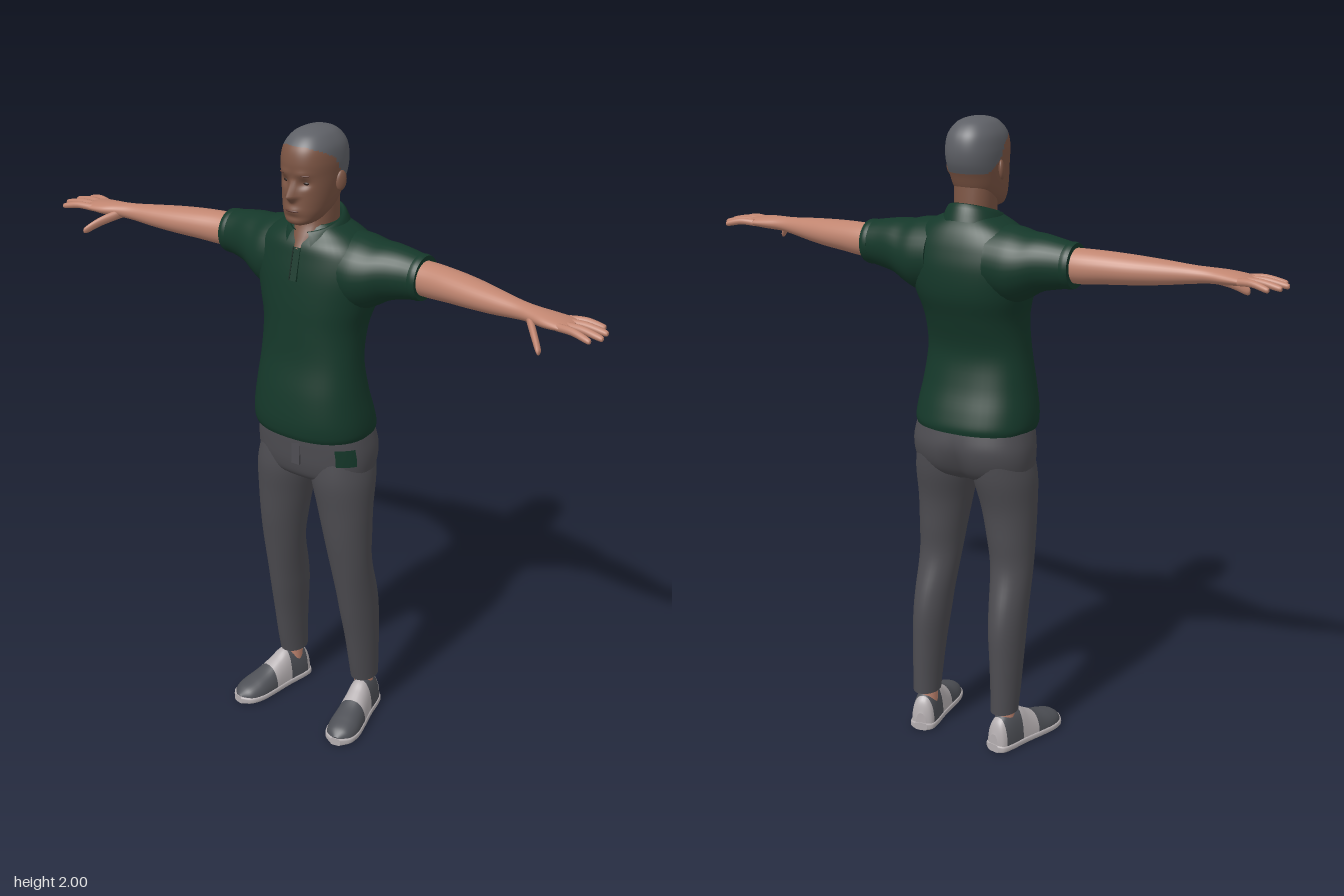
import * as THREE from 'three';

const mat = (name, color, side = THREE.FrontSide) => {
  const m = new THREE.MeshStandardMaterial({ color, side });
  m.name = name;
  return m;
};
const M = {
  shirt: mat('shirt green', 0x15382a, THREE.DoubleSide),
  seam: mat('seam dark green', 0x0d241c),
  trousers: mat('trouser grey', 0x4d4c51),
  face: mat('face skin', 0x7b5443),
  arm: mat('arm skin', 0xc08570),
  hair: mat('hair grey', 0x5e6066),
  shoe: mat('shoe grey', 0x4e5056),
  sole: mat('shoe light grey', 0xb4aeb0),
  dark: mat('eye dark', 0x2a1c18),
  lip: mat('lip', 0x613c33),
};
const gauss = (d, s) => Math.exp(-(d * d) / (s * s));
const spow = (v, p) => Math.sign(v) * Math.abs(v) ** p;

// Catmull-Rom interpolation through rows of numbers
function sample(rows, t) {
  const k = Math.min(Math.floor(t), rows.length - 2), f = t - k;
  const at = i => rows[Math.max(0, Math.min(rows.length - 1, i))];
  return rows[0].map((_, c) => {
    const [a, b, d, e] = [at(k - 1)[c], at(k)[c], at(k + 1)[c], at(k + 2)[c]];
    return b + 0.5 * f * (d - a + f * (2 * a - 5 * b + 4 * d - e + f * (3 * (b - d) + e - a)));
  });
}

// Surface from rings of points; pick() gives a material index per quad
function skin(rings, closed, pick) {
  const n = rings[0].length, pos = [], parts = [[], []];
  rings.forEach(r => r.forEach(p => pos.push(p.x, p.y, p.z)));
  for (let j = 0; j < rings.length - 1; j++) {
    for (let i = 0; i < (closed ? n : n - 1); i++) {
      const i2 = (i + 1) % n, a = j * n + i, b = j * n + i2;
      const mid = rings[j][i].clone().add(rings[j + 1][i2]).multiplyScalar(0.5);
      parts[pick ? pick(mid) : 0].push(a, b, b + n, a, b + n, a + n);
    }
  }
  const g = new THREE.BufferGeometry();
  g.setAttribute('position', new THREE.Float32BufferAttribute(pos, 3));
  g.setIndex([...parts[0], ...parts[1]]);
  if (pick) {
    g.addGroup(0, parts[0].length, 0);
    g.addGroup(parts[0].length, parts[1].length, 1);
  }
  g.computeVertexNormals();
  return g;
}

// Closed loft with flat end caps
function loft(rows, point, n = 32, sub = 5, pick) {
  const rings = [], steps = (rows.length - 1) * sub;
  for (let j = 0; j <= steps; j++) {
    const row = sample(rows, j / sub);
    rings.push(Array.from({ length: n }, (_, i) => point(row, (i / n) * Math.PI * 2)));
  }
  const cap = r => {
    const c = r.reduce((s, p) => s.add(p), new THREE.Vector3()).divideScalar(n);
    return r.map(() => c);
  };
  const first = rings[0], last = rings[rings.length - 1];
  return skin([cap(first), first, ...rings, last, cap(last)], true, pick);
}

// Section rules: body [y, halfWidth, zFront, zBack], leg [y, x, z, rx, rz], limb [x, y, z, ry, rz]
const bodyPoint = ([y, w, zf, zb], a) => new THREE.Vector3(
  w * spow(Math.sin(a), 0.87), y, (zf + zb) / 2 + ((zf - zb) / 2) * spow(Math.cos(a), 0.87));
const legPoint = ([y, x, z, rx, rz], a) => new THREE.Vector3(x + rx * Math.sin(a), y, z + rz * Math.cos(a));
const limbPoint = ([x, y, z, ry, rz], a) => new THREE.Vector3(x, y + ry * Math.cos(a), z + rz * Math.sin(a));

function mirrored(geo) {
  const g = geo.clone().scale(-1, 1, 1), ix = g.index.array;
  for (let i = 0; i < ix.length; i += 3) [ix[i], ix[i + 1]] = [ix[i + 1], ix[i]];
  g.computeVertexNormals();
  return g;
}

// Head surface with nose, eye sockets, brow and lips
function headPoint(row, a) {
  const p = bodyPoint(row, a);
  if (Math.cos(a) > 0) {
    const { x, y } = p, ax = Math.abs(x);
    const nose = y > 1.815 ? Math.max(0, 1 - (y - 1.815) / 0.05) : Math.max(0, 1 - (1.815 - y) / 0.022);
    p.z += 0.03 * nose * gauss(x, 0.008 + 0.008 * nose)
      - 0.011 * gauss(ax - 0.034, 0.017) * gauss(y - 1.853, 0.013)
      + 0.004 * gauss(ax - 0.03, 0.025) * gauss(y - 1.882, 0.01)
      + 0.006 * gauss(x, 0.025) * gauss(y - 1.773, 0.011)
      - 0.003 * gauss(x, 0.03) * gauss(y - 1.752, 0.007);
  }
  return p;
}
const hairline = [[0.11, 1.968], [0.05, 1.94], [0.015, 1.925], [-0.015, 1.875], [-0.06, 1.84], [-0.2, 1.835]];
function isHair(p) {
  for (let i = 0; i < hairline.length - 1; i++) {
    const [z0, y0] = hairline[i], [z1, y1] = hairline[i + 1];
    if (p.z <= z0 && p.z > z1) return p.y > y0 + ((y1 - y0) * (z0 - p.z)) / (z0 - z1) ? 1 : 0;
  }
  return 0;
}

export function createModel() {
  const model = new THREE.Group();
  const add = (name, geo, material) => {
    const m = new THREE.Mesh(geo, material);
    m.name = name;
    model.add(m);
    return m;
  };
  const pair = (name, geo, material) => {
    add(name + 'Left', geo, material);
    add(name + 'Right', mirrored(geo), material);
  };
  const ball = (x, y, z, sx, sy, sz) => new THREE.SphereGeometry(1, 20, 14).scale(sx, sy, sz).translate(x, y, z);

  // Head and neck
  add('head', loft([
    [1.724, 0.02, 0.09, 0.04], [1.735, 0.044, 0.107, 0.0], [1.76, 0.062, 0.11, -0.045], [1.79, 0.072, 0.109, -0.075],
    [1.83, 0.079, 0.107, -0.094], [1.87, 0.083, 0.107, -0.112], [1.91, 0.084, 0.11, -0.117], [1.95, 0.077, 0.1, -0.108],
    [1.98, 0.057, 0.074, -0.083], [1.994, 0.033, 0.042, -0.053], [2.0, 0.003, 0.0, -0.01],
  ], headPoint, 96, 8, isHair), [M.face, M.hair]);
  add('neck', loft([
    [1.65, 0.035, 0.09, -0.06], [1.685, 0.055, 0.072, -0.085], [1.73, 0.06, 0.052, -0.085], [1.8, 0.062, 0.05, -0.08],
  ], bodyPoint), M.face);
  pair('ear', ball(0, 0, 0, 0.009, 0.03, 0.018).rotateY(-0.35).rotateX(-0.15).translate(0.087, 1.848, -0.012), M.face);
  pair('eye', ball(0.034, 1.854, 0.084, 0.012, 0.006, 0.009), M.dark);
  pair('brow', ball(0, 0, 0, 0.019, 0.003, 0.005).rotateY(0.3).translate(0.035, 1.879, 0.1), M.lip);
  add('mouth', ball(0, 1.772, 0.108, 0.024, 0.005, 0.0095), M.lip);

  // Polo shirt
  add('shirtBody', loft([
    [1.055, 0.192, 0.138, -0.155], [1.075, 0.197, 0.145, -0.157], [1.12, 0.194, 0.147, -0.145], [1.2, 0.181, 0.139, -0.12],
    [1.3, 0.168, 0.122, -0.105], [1.4, 0.167, 0.116, -0.132], [1.48, 0.187, 0.112, -0.16], [1.56, 0.205, 0.104, -0.165],
    [1.62, 0.2, 0.093, -0.155], [1.66, 0.175, 0.083, -0.142], [1.69, 0.135, 0.062, -0.125], [1.718, 0.075, 0.045, -0.1],
  ], bodyPoint, 48), M.shirt);
  pair('sleeve', loft([
    [0.1, 1.585, -0.04, 0.11, 0.115], [0.16, 1.578, -0.04, 0.114, 0.115], [0.205, 1.582, -0.042, 0.1, 0.104],
    [0.25, 1.594, -0.046, 0.086, 0.088], [0.3, 1.597, -0.05, 0.076, 0.072], [0.355, 1.597, -0.051, 0.066, 0.063],
  ], limbPoint), M.shirt);
  pair('sleeveCuff', loft([
    [0.335, 1.597, -0.051, 0.069, 0.066], [0.348, 1.597, -0.051, 0.07, 0.067], [0.36, 1.597, -0.051, 0.067, 0.064],
  ], limbPoint), M.shirt);

  // Turned-down collar, open at the throat
  const collar = [];
  for (let j = 0; j <= 6; j++) {
    const [r, drop] = sample([[0.062, 0.03], [0.07, 0], [0.083, 0.012], [0.098, 0.05]], j / 2);
    collar.push(Array.from({ length: 49 }, (_, i) => {
      const gap = 0.2 + 0.05 * j, a = gap + (i / 48) * (Math.PI * 2 - 2 * gap);
      const front = Math.max(0, Math.cos(a)) ** 2;
      return new THREE.Vector3(r * 1.04 * Math.sin(a), 1.727 - 0.027 * Math.cos(a) - drop * (1 + 0.15 * front),
        -0.014 + (r + 0.012) * Math.cos(a));
    }));
  }
  add('collar', skin(collar, false), M.shirt);
  add('placket', new THREE.BoxGeometry(0.026, 0.1, 0.008).rotateX(-0.24).translate(0, 1.605, 0.096), M.shirt);
  add('placketSeam', new THREE.BoxGeometry(0.004, 0.1, 0.009).rotateX(-0.24).translate(-0.011, 1.605, 0.0965), M.seam);

  // Arms, hands and fingers
  pair('arm', loft([
    [0.3, 1.598, -0.05, 0.05, 0.05], [0.38, 1.598, -0.047, 0.052, 0.052], [0.46, 1.6, -0.036, 0.048, 0.053],
    [0.54, 1.6, -0.023, 0.043, 0.05], [0.62, 1.6, -0.008, 0.036, 0.041], [0.7, 1.601, 0.006, 0.027, 0.031],
    [0.75, 1.602, 0.015, 0.023, 0.033], [0.8, 1.601, 0.021, 0.021, 0.043], [0.85, 1.6, 0.021, 0.016, 0.047],
    [0.88, 1.598, 0.021, 0.01, 0.042],
  ], limbPoint), M.arm);
  const finger = (name, a, b, c, r) => pair(name, loft([
    [...a, r, r], [...b, r * 0.95, r * 0.95], [...c, r * 0.75, r * 0.75], [c[0] + 0.006, c[1], c[2], 0.001, 0.001],
  ], limbPoint, 12, 4), M.arm);
  [[-0.015, -0.036, 0.938], [0.008, -0.002, 0.962], [0.032, 0.038, 0.968], [0.054, 0.074, 0.95]].forEach(([z0, z1, x], i) =>
    finger('finger' + (i + 1), [0.845, 1.6, z0], [(0.845 + x) / 2, 1.602, (z0 + z1) / 2], [x, 1.592, z1], 0.0115));
  finger('thumb', [0.745, 1.595, 0.028], [0.79, 1.572, 0.078], [0.825, 1.546, 0.112], 0.016);

  // Trousers
  const hips = [
    [0.885, 0.14, 0.06, -0.08], [0.91, 0.188, 0.092, -0.12], [0.95, 0.2, 0.106, -0.145],
    [1.0, 0.202, 0.112, -0.156], [1.05, 0.194, 0.115, -0.148], [1.085, 0.185, 0.112, -0.138],
  ];
  add('hips', loft(hips, (row, a) => {
    const p = bodyPoint(row, a);
    if (Math.cos(a) < 0) p.z += 0.022 * gauss(p.x, 0.03) * gauss(p.y - 0.93, 0.08);
    return p;
  }, 48), M.trousers);
  pair('trouserLeg', loft([
    [0.13, 0.147, -0.083, 0.042, 0.053], [0.2, 0.147, -0.076, 0.045, 0.06], [0.3, 0.145, -0.067, 0.05, 0.069],
    [0.4, 0.141, -0.056, 0.056, 0.078], [0.48, 0.138, -0.042, 0.06, 0.078], [0.6, 0.132, -0.015, 0.068, 0.072],
    [0.7, 0.125, -0.008, 0.077, 0.082], [0.8, 0.116, -0.006, 0.088, 0.092], [0.9, 0.105, -0.012, 0.099, 0.11],
    [0.98, 0.1, -0.02, 0.09, 0.112],
  ], legPoint, 36), M.trousers);
  add('fly', new THREE.BoxGeometry(0.03, 0.1, 0.008).rotateX(-0.05).translate(0.012, 1.01, 0.111), M.trousers);

  // Thin green patch at the left front pocket
  const patch = [0.972, 1.0, 1.03].map(y => Array.from({ length: 9 }, (_, i) => {
    const k = hips.findIndex((h, j) => y < hips[j + 1][0]);
    const row = sample(hips, k + (y - hips[k][0]) / (hips[k + 1][0] - hips[k][0]));
    const p = bodyPoint(row, 0.72 + i * 0.055);
    return new THREE.Vector3(p.x * 1.02, y, p.z * 1.03 + 0.002);
  }));
  add('pocketPatch', skin(patch, false), M.shirt);

  // Ankles and shoes, toes turned out
  pair('ankle', new THREE.CylinderGeometry(0.033, 0.031, 0.12, 24).translate(0.147, 0.13, -0.078), M.arm);
  const place = g => g.translate(0, 0, 0.1).rotateY(0.21).translate(0.147, 0, -0.1);
  const shoe = [
    [-0.138, 0.018, 0.06], [-0.125, 0.036, 0.1], [-0.09, 0.042, 0.126], [-0.04, 0.043, 0.128], [0.0, 0.046, 0.106],
    [0.05, 0.051, 0.08], [0.1, 0.053, 0.064], [0.14, 0.042, 0.05], [0.164, 0.014, 0.03],
  ];
  pair('shoeUpper', place(loft(shoe, ([z, w, top], a) => new THREE.Vector3(
    -w * spow(Math.sin(a), 0.85), 0.015 + (top - 0.015) * Math.max(0, spow(Math.cos(a), 0.9)), z),
  36, 8, p => (p.z > -0.04 && p.z < 0.03) || p.z < -0.115 ? 1 : 0)), [M.shoe, M.sole]);
  pair('shoeSole', place(loft(shoe, ([z, w], a) => new THREE.Vector3(
    -(w + 0.004) * spow(Math.sin(a), 0.5), 0.013 + 0.013 * spow(Math.cos(a), 0.5), z * 1.02), 32, 6)), M.sole);

  return model;
}
